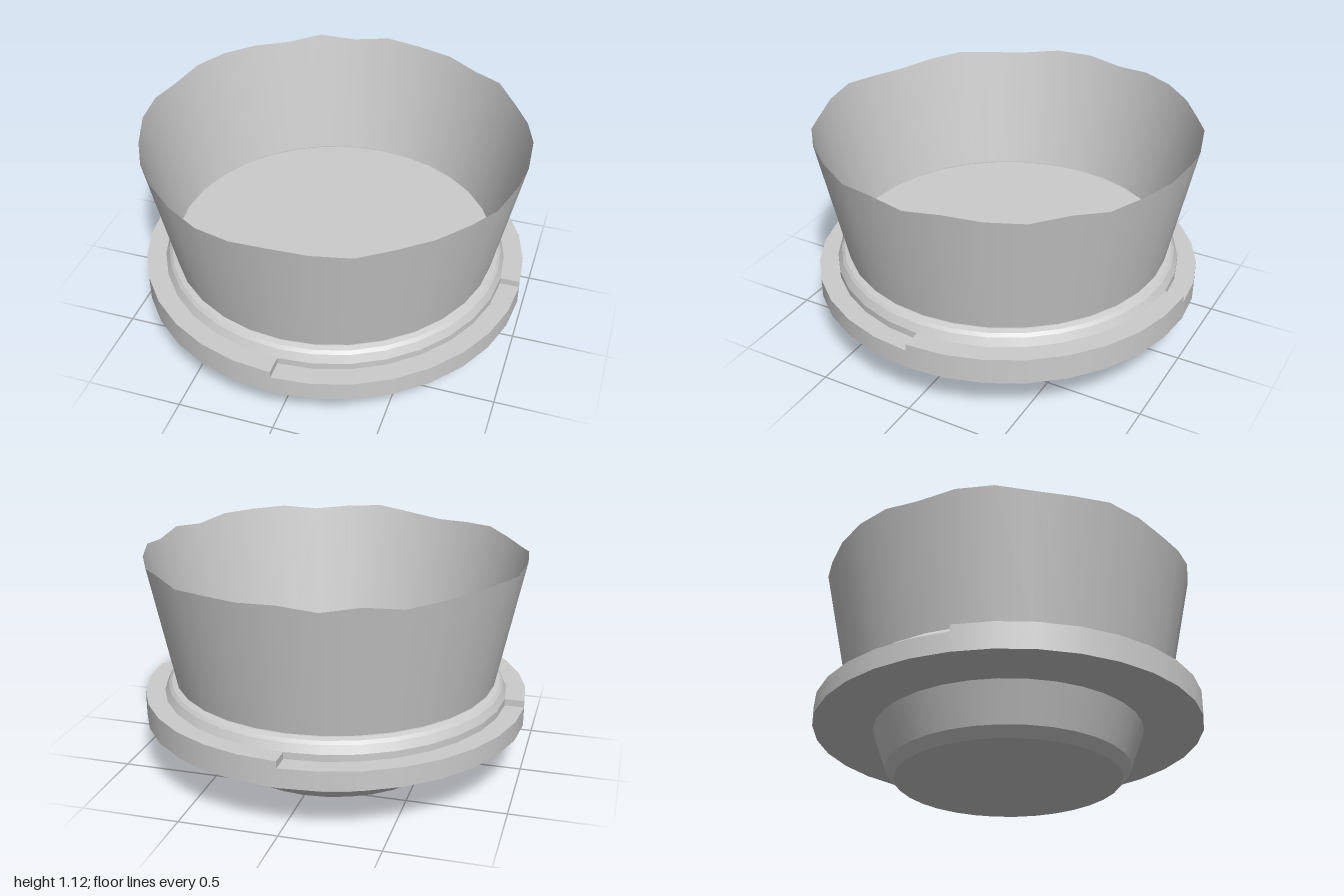
import * as THREE from 'three';
import { mergeGeometries } from 'three/addons/utils/BufferGeometryUtils.js';

const SIDES = 32;
const material = new THREE.MeshStandardMaterial({ color: 0xcccccc });
const thinMaterial = new THREE.MeshStandardMaterial({ color: 0xcccccc, side: THREE.DoubleSide });

// Turned surface: smooth around the axis, sharp at each profile point.
function turned(profile, start = 0, length = Math.PI * 2) {
  const segments = Math.round(SIDES * length / (Math.PI * 2));
  const bands = [];
  for (let i = 0; i < profile.length - 1; i++) {
    const pair = [profile[i], profile[i + 1]].map(([r, y]) => new THREE.Vector2(r, y));
    bands.push(new THREE.LatheGeometry(pair, segments, start, length));
  }
  return mergeGeometries(bands);
}

export function createModel() {
  const group = new THREE.Group();
  const add = (name, geometry, mat = material) => {
    const mesh = new THREE.Mesh(geometry, mat);
    mesh.name = name;
    group.add(mesh);
    return mesh;
  };

  // Tapered foot with a bevelled bottom edge
  add('foot', turned([[0, 0], [0.58, 0], [0.625, 0.05], [0.695, 0.25]]));

  // Flange: its top alternates between low and raised quarters
  add('flange', turned([[0.695, 0.25], [1, 0.25], [1, 0.35]]));
  for (let q = 0; q < 4; q++) {
    const angle = q * Math.PI / 2;
    const profile = q % 2 ? [[1, 0.35], [1, 0.385], [0.9, 0.385]] : [[1, 0.35], [0.9, 0.35]];
    add(q % 2 ? 'raisedQuarter' : 'lowQuarter', turned(profile, angle, Math.PI / 2));

    // Upright face of the step between two quarters
    const step = new THREE.PlaneGeometry(0.1, 0.035);
    step.translate(0.95, 0.3675, 0);
    step.rotateY(angle);
    add('quarterStep', step, thinMaterial);
  }

  // Rounded collar and the floor inside the cup
  add('collar', turned([[0.9, 0.35], [0.9, 0.385], [0.88, 0.425], [0.865, 0.44], [0.84, 0.448]]));
  add('floor', turned([[0.84, 0.448], [0, 0.448]]));

  // Thin flared wall with an uneven rim, heights listed around from the front
  const rim = [
    1.12, 1.11, 1.095, 1.12, 1.12, 1.12, 1.095, 1.12,
    1.095, 1.12, 1.105, 1.095, 1.12, 1.095, 1.11, 1.11,
    1.12, 1.095, 1.12, 1.095, 1.11, 1.12, 1.12, 1.1,
    1.12, 1.12, 1.095, 1.095, 1.11, 1.095, 1.08, 1.095,
  ];
  const wall = turned([[0.84, 0.453], [0.977, 1.12]]);
  const pos = wall.attributes.position;
  for (let i = 0; i < pos.count; i++) {
    if (pos.getY(i) < 1) continue;
    const y = rim[Math.floor(i / 2) % SIDES];
    const r = 0.84 + 0.137 * (y - 0.453) / 0.667;
    const a = Math.floor(i / 2) * Math.PI * 2 / SIDES;
    pos.setXYZ(i, r * Math.sin(a), y, r * Math.cos(a));
  }
  add('wall', wall, thinMaterial);

  return group;
}
